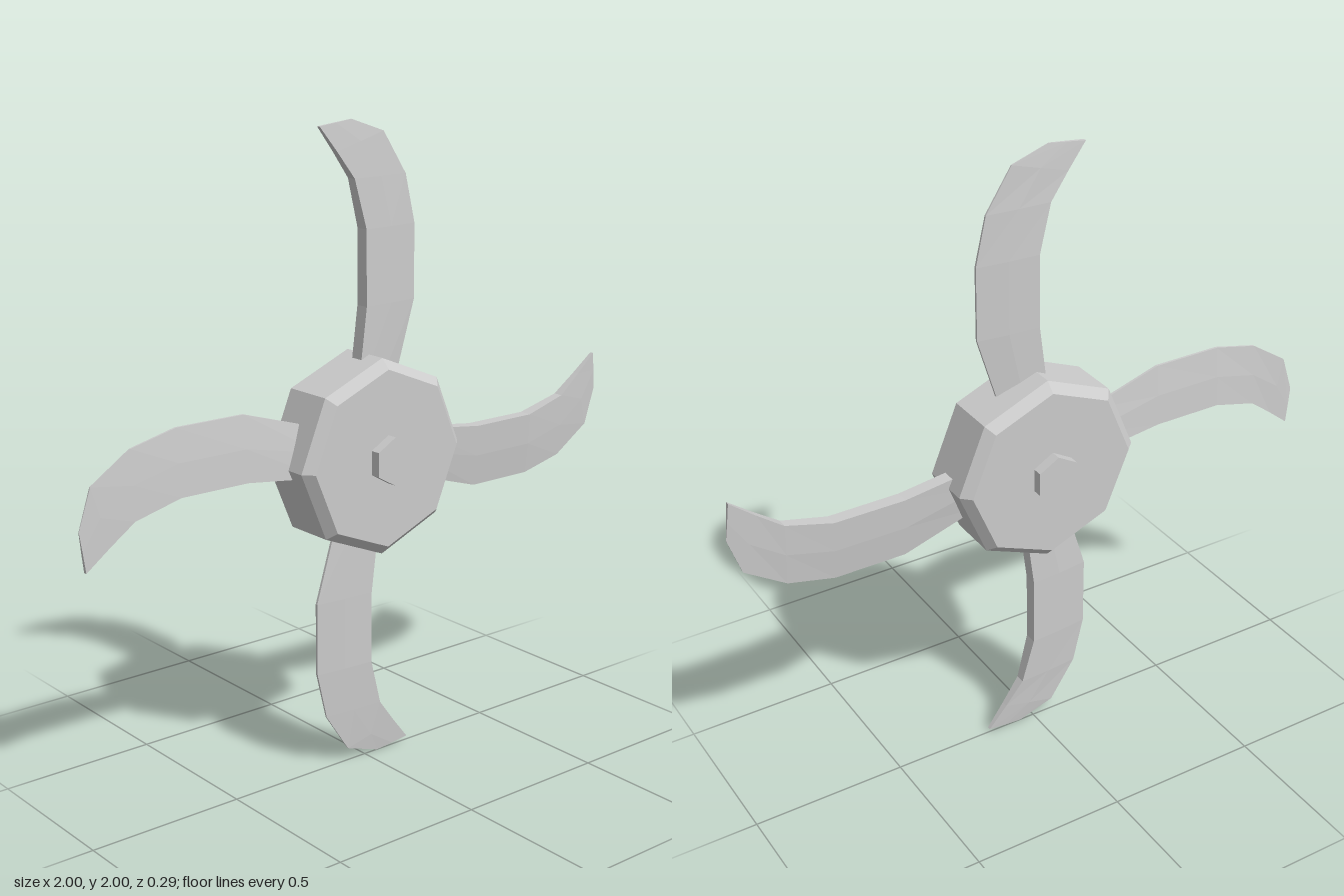
import * as THREE from 'three';

const material = new THREE.MeshStandardMaterial({ color: 0xcccccc, flatShading: true });

// Blade stations from root to tip, relative to the hub centre:
// [inner x, inner y, outer x, outer y, half thickness at the blunt inner edge]
const STATIONS = [
  [-0.045, 0.18, 0.11, 0.19, 0.022],
  [-0.01, 0.45, 0.19, 0.45, 0.022],
  [-0.01, 0.68, 0.19, 0.68, 0.021],
  [-0.05, 0.83, 0.155, 0.83, 0.016],
  [-0.11, 0.91, 0.07, 0.96, 0.011],
  [-0.17, 0.985, -0.05, 1.0, 0.006],
];

// Wedge-shaped cross-sections: thick inner edge, slight ridge, thin outer edge
function bladeGeometry() {
  const positions = [];
  const index = [];
  const profile = [[0, 1], [0.5, 0.72], [1, 0.18]];
  const ring = [...profile, ...profile.map(([u, t]) => [u, -t]).reverse()];
  const n = ring.length;
  for (const [ix, iy, ox, oy, half] of STATIONS) {
    for (const [u, t] of ring) {
      positions.push(ix + (ox - ix) * u, iy + (oy - iy) * u, half * t);
    }
  }
  const last = (STATIONS.length - 1) * n;
  for (let s = 0; s < last; s += n) {
    for (let j = 0; j < n; j++) {
      const a = s + j;
      const b = s + (j + 1) % n;
      index.push(a, b, b + n, a, b + n, a + n);
    }
  }
  // Root and tip caps
  for (let j = 1; j < n - 1; j++) {
    index.push(0, j + 1, j, last, last + j, last + j + 1);
  }
  const geometry = new THREE.BufferGeometry();
  geometry.setAttribute('position', new THREE.Float32BufferAttribute(positions, 3));
  geometry.setIndex(index);
  const flat = geometry.toNonIndexed();
  flat.computeVertexNormals();
  return flat;
}

export function createModel() {
  const model = new THREE.Group();
  model.name = 'fanRotor';
  const rotor = new THREE.Group();
  rotor.name = 'rotor';
  rotor.position.y = 1;
  model.add(rotor);

  const add = (geometry, name) => {
    const mesh = new THREE.Mesh(geometry, material);
    mesh.name = name;
    rotor.add(mesh);
    return mesh;
  };

  // Octagonal hub with bevelled rims
  const hubProfile = [[0, -0.112], [0.275, -0.112], [0.305, -0.082], [0.305, 0.082], [0.275, 0.112], [0, 0.112]]
    .map(([r, h]) => new THREE.Vector2(r, h));
  add(new THREE.LatheGeometry(hubProfile, 8).rotateX(Math.PI / 2), 'hub');

  // Hexagonal axle through the hub
  add(new THREE.CylinderGeometry(0.075, 0.075, 0.29, 6).rotateX(Math.PI / 2), 'axle');

  // Four curved blades
  const blade = bladeGeometry();
  for (let i = 0; i < 4; i++) {
    add(blade, `blade${i + 1}`).rotation.z = -i * Math.PI / 2;
  }
  return model;
}
